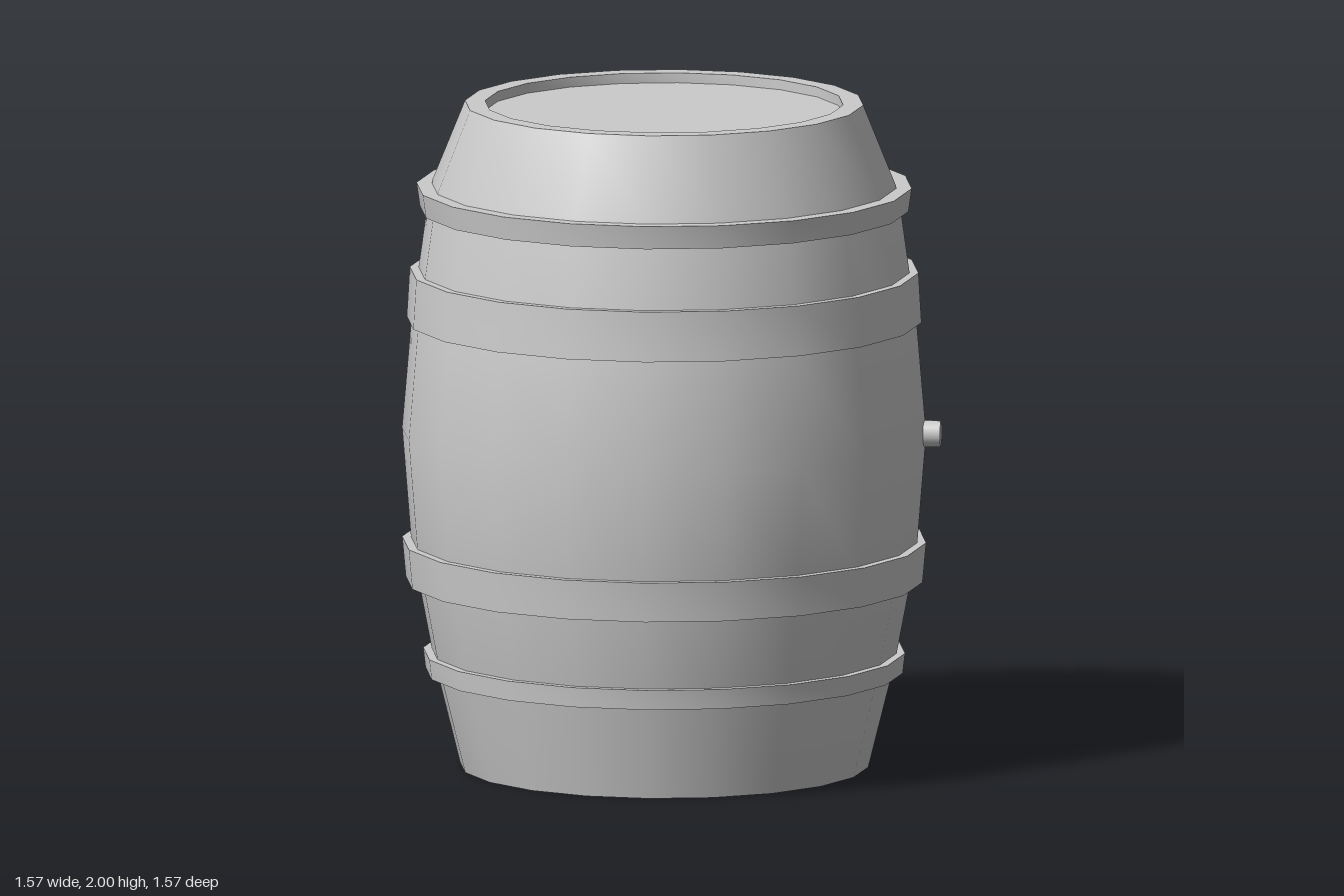
import * as THREE from 'three';
import { toCreasedNormals } from 'three/addons/utils/BufferGeometryUtils.js';

const SIDES = 20;
const material = new THREE.MeshStandardMaterial({ color: 0xcccccc });

// Twenty-sided turned part from [radius, height] pairs, smooth around, sharp at corners
function turned(name, profile) {
  const points = profile.map(([r, y]) => new THREE.Vector2(r, y));
  const geometry = toCreasedNormals(new THREE.LatheGeometry(points, SIDES), 0.5);
  const mesh = new THREE.Mesh(geometry, material);
  mesh.name = name;
  return mesh;
}

// Closed hoop with its own taper
function hoop(name, y0, y1, r0, r1) {
  const inner = Math.min(r0, r1) - 0.08;
  return turned(name, [[r0, y0], [r1, y1], [inner, y1], [inner, y0], [r0, y0]]);
}

export function createModel() {
  const barrel = new THREE.Group();
  barrel.name = 'barrel';

  // Bulging body, with a raised rim around the sunken lid
  barrel.add(turned('body', [
    [0, 0], [0.61, 0], [0.69, 0.32], [0.755, 0.66], [0.783, 1.01],
    [0.755, 1.34], [0.705, 1.7], [0.692, 1.76], [0.595, 2],
    [0.535, 2], [0.535, 1.97], [0, 1.97],
  ]));

  // Hoops: bottom height, top height, bottom radius, top radius
  barrel.add(
    hoop('lowerEndHoop', 0.285, 0.345, 0.713, 0.72),
    hoop('lowerBellyHoop', 0.56, 0.68, 0.772, 0.783),
    hoop('upperBellyHoop', 1.345, 1.495, 0.769, 0.76),
    hoop('upperEndHoop', 1.68, 1.75, 0.73, 0.74),
  );

  // Bung pointing out of the belly along one of the body's corners
  const outward = new THREE.Vector3(Math.sin(Math.PI / 5), 0, Math.cos(Math.PI / 5));
  const bung = new THREE.Mesh(new THREE.CylinderGeometry(0.04, 0.04, 0.12, 16), material);
  bung.name = 'bung';
  bung.quaternion.setFromUnitVectors(new THREE.Vector3(0, 1, 0), outward);
  bung.position.copy(outward).multiplyScalar(0.767).setY(1.01);
  barrel.add(bung);

  return barrel;
}
